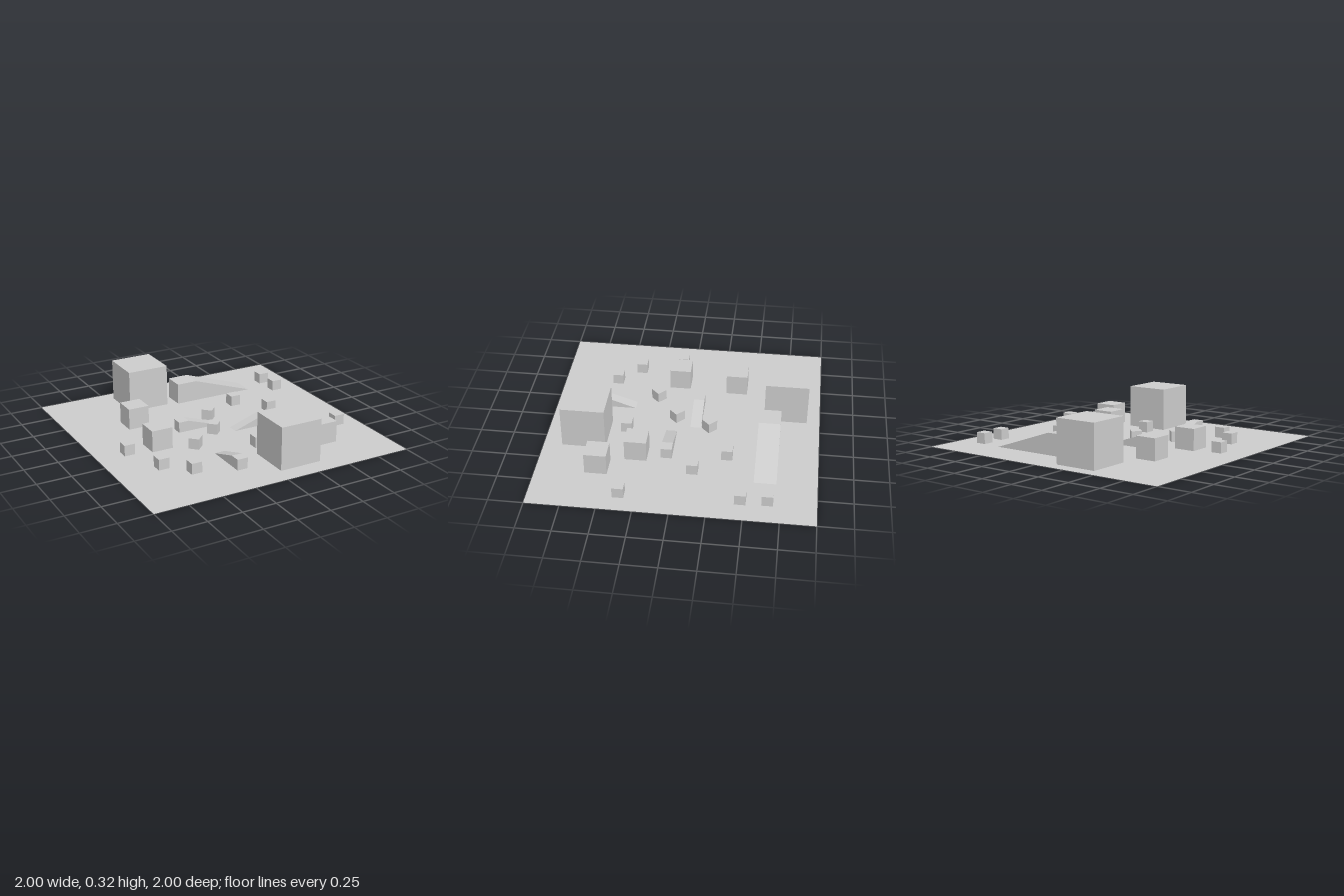
import * as THREE from 'three';

const grey = new THREE.MeshStandardMaterial({ color: 0xcccccc, flatShading: true });
const groundGrey = new THREE.MeshStandardMaterial({ color: 0xcccccc, side: THREE.DoubleSide });

// Cubes standing on the ground: [x, z] centres grouped by edge length
const CUBES = [
  { name: 'largeBlock', size: 0.32, spots: [[-0.27, -0.745], [0.19, 0.705]] },
  { name: 'mediumBlock', size: 0.16, spots: [[-0.5, -0.353], [-0.525, 0.09], [0.383, 0.307], [0.56, 0.565]] },
  {
    name: 'smallBlock', size: 0.08,
    spots: [[0.8, -0.66], [0.81, -0.473], [0.35, -0.345], [0.533, -0.113], [-0.765, 0.096],
      [-0.656, 0.417], [-0.49, 0.583], [0.11, 0.422], [0.835, 0.368]],
  },
  { name: 'turnedBlock', size: 0.08, turn: Math.PI / 4, spots: [[0.039, -0.187], [-0.055, 0.067], [-0.297, 0.236]] },
];

// Ramps: centre, height, and turn about y (at 0 the slope runs down to +x)
const RAMPS = [
  { name: 'largeRamp', x: 0.29, z: -0.633, h: 0.16, turn: 0 },
  { name: 'smallRampLeftward', x: -0.123, z: -0.083, h: 0.08, turn: 0 },
  { name: 'smallRampRightward', x: 0.255, z: 0.09, h: 0.08, turn: Math.PI },
  { name: 'smallRampBackward', x: -0.187, z: 0.557, h: 0.08, turn: Math.PI / 2 },
];

// Side profile: a flat ledge as long as it is high, then a 1:3 slope
function rampGeometry(h) {
  const profile = new THREE.Shape([
    new THREE.Vector2(-2 * h, 0),
    new THREE.Vector2(2 * h, 0),
    new THREE.Vector2(-h, h),
    new THREE.Vector2(-2 * h, h),
  ]);
  return new THREE.ExtrudeGeometry(profile, { depth: h, bevelEnabled: false }).translate(0, 0, -h / 2);
}

export function createModel() {
  const model = new THREE.Group();
  model.name = 'obstacleCourse';

  // Flat square ground
  const ground = new THREE.Mesh(new THREE.PlaneGeometry(2, 2).rotateX(-Math.PI / 2), groundGrey);
  ground.name = 'ground';
  model.add(ground);

  // Blocks
  for (const { name, size, turn = 0, spots } of CUBES) {
    const geometry = new THREE.BoxGeometry(size, size, size);
    spots.forEach(([x, z], i) => {
      const block = new THREE.Mesh(geometry, grey);
      block.name = name + (i + 1);
      block.position.set(x, size / 2, z);
      block.rotation.y = turn;
      model.add(block);
    });
  }

  // Ramps
  for (const { name, x, z, h, turn } of RAMPS) {
    const ramp = new THREE.Mesh(rampGeometry(h), grey);
    ramp.name = name;
    ramp.position.set(x, 0, z);
    ramp.rotation.y = turn;
    model.add(ramp);
  }
  return model;
}
